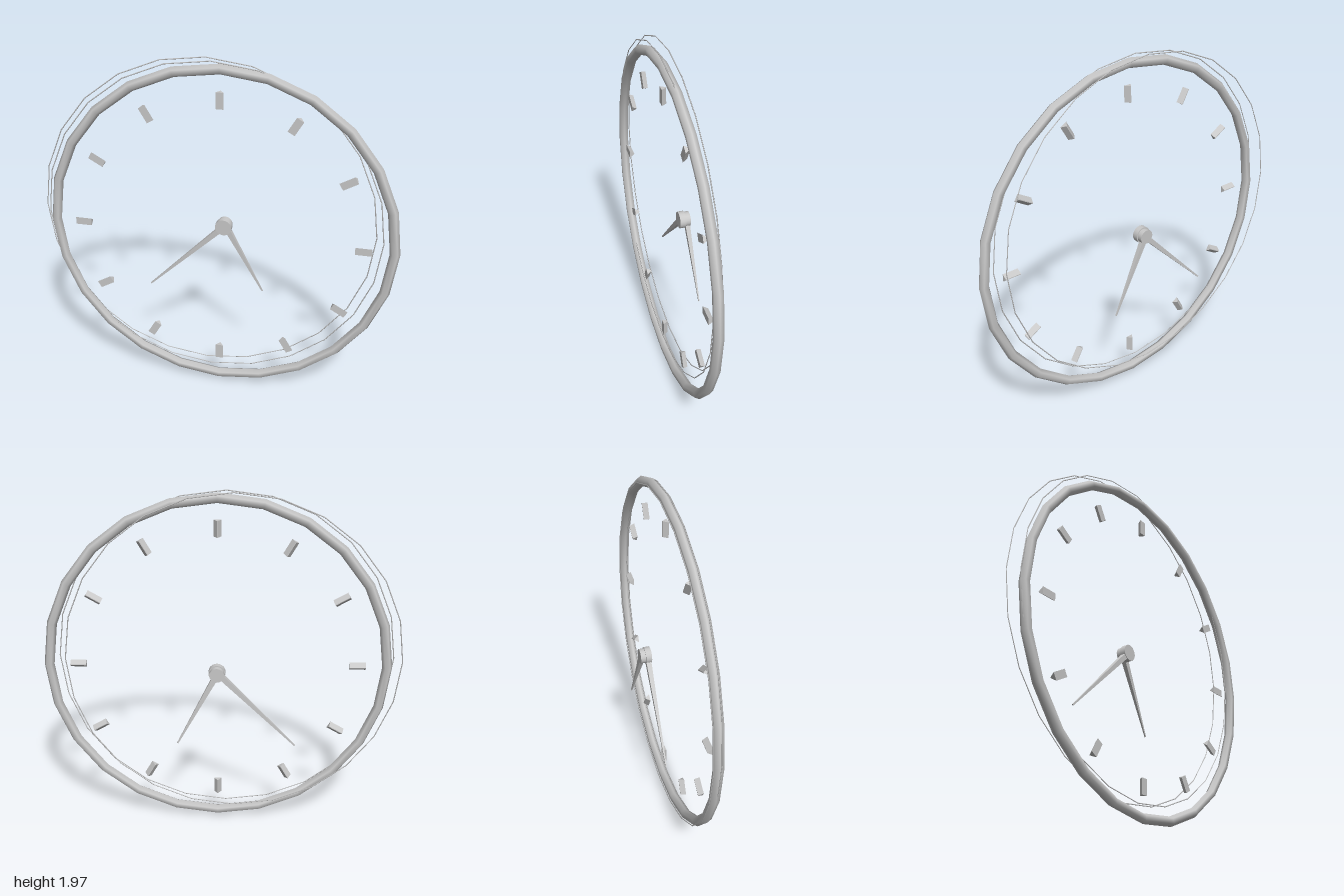
import * as THREE from 'three';

export function createModel() {
  const clock = new THREE.Group();
  clock.name = 'wallClock';
  const grey = new THREE.MeshStandardMaterial({ color: 0xc8c8c8 });
  grey.name = 'grey';
  const CX = 0.024, CY = 0.976;

  function add(geometry, name, x, y, z, turn = 0) {
    const mesh = new THREE.Mesh(geometry, grey);
    mesh.name = name;
    mesh.position.set(x, y, z);
    mesh.rotation.z = turn;
    clock.add(mesh);
  }

  // Round rim of six-sided section
  add(new THREE.TorusGeometry(0.948, 0.028, 6, 24), 'rim', CX, CY, 0.057);

  // Two hairline hoops, set off from the rim
  const hoop = new THREE.TorusGeometry(0.933, 0.003, 4, 24);
  add(hoop, 'backHoop', -0.064, 1.03, 0.005);
  add(hoop, 'frontHoop', -0.024, 1.03, 0.062);

  // Twelve hour markers: flat in front, narrowing to a ridge behind
  const marker = new THREE.BoxGeometry(0.043, 0.09, 0.028);
  const corners = marker.attributes.position;
  for (let i = 0; i < corners.count; i++) {
    if (corners.getZ(i) < 0) corners.setX(i, corners.getX(i) * 0.1);
  }
  marker.computeVertexNormals();
  for (let i = 0; i < 12; i++) {
    const a = (i * Math.PI) / 6;
    add(marker, 'hourMarker', CX + 0.784 * Math.sin(a), CY + 0.784 * Math.cos(a), 0.055, -a);
  }

  // Hand: a bar tapering to its tip, flat at the back, with a round hub
  function hand(name, tipX, tipY, back, depth, hubRadius) {
    const dx = tipX - CX, dy = tipY - CY;
    const length = Math.hypot(dx, dy);
    const bar = new THREE.BoxGeometry(0.032, length, depth);
    bar.translate(0, length / 2, depth / 2);
    const p = bar.attributes.position;
    for (let i = 0; i < p.count; i++) {
      if (p.getY(i) > length / 2) {
        p.setX(i, p.getX(i) * 0.25);
        p.setZ(i, p.getZ(i) * 0.2);
      }
    }
    bar.computeVertexNormals();
    add(bar, name, CX, CY, back, Math.atan2(-dx, dy));

    const hub = new THREE.CylinderGeometry(hubRadius, hubRadius, depth + 0.003, 20);
    hub.rotateX(Math.PI / 2);
    add(hub, name + 'Hub', CX, CY, back + depth / 2);
  }
  hand('minuteHand', -0.417, 0.533, -0.057, 0.03, 0.047);
  hand('hourHand', 0.246, 0.554, -0.085, 0.028, 0.041);

  return clock;
}
